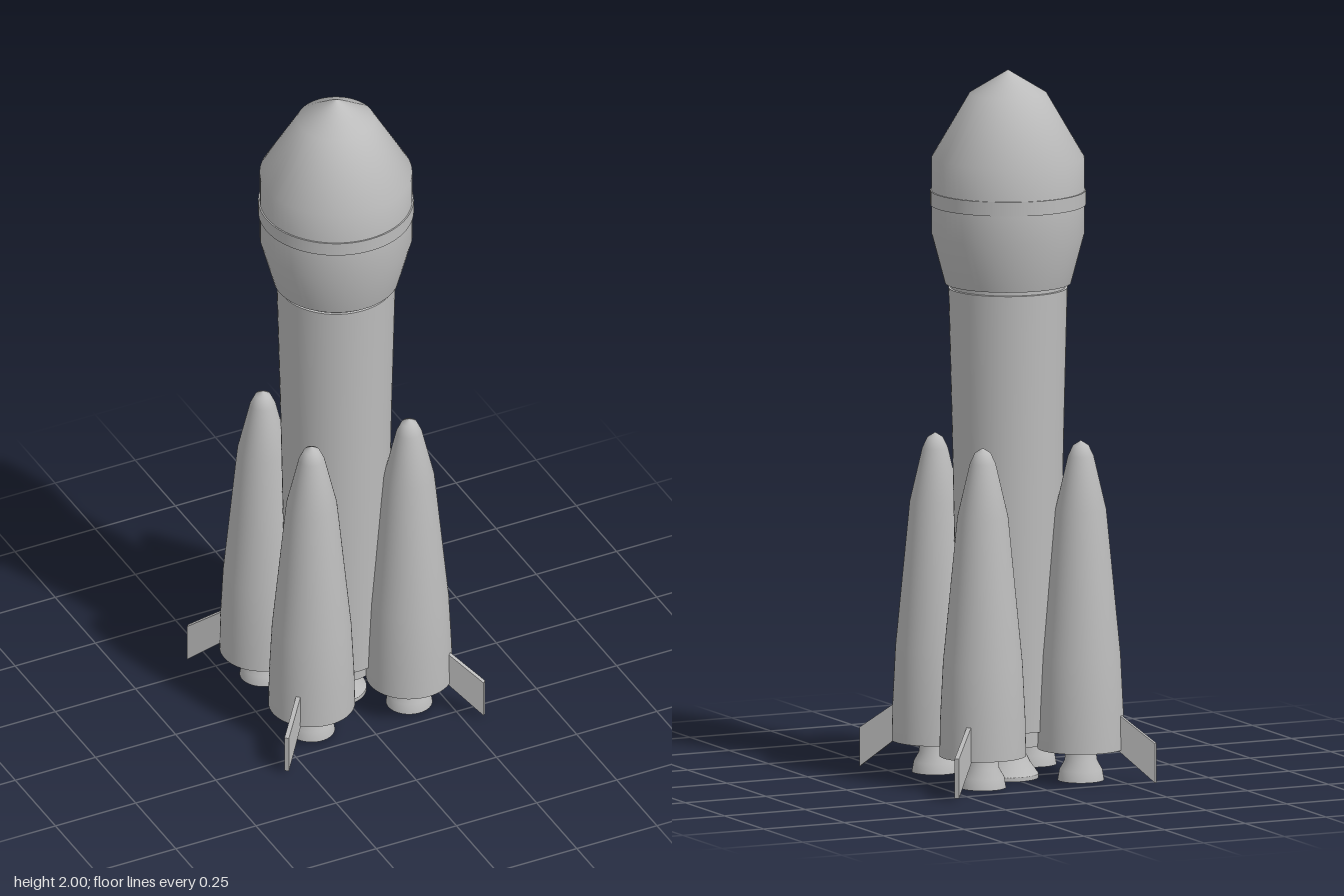
import * as THREE from 'three';

export function createModel() {
  const rocket = new THREE.Group();
  rocket.name = 'rocket';
  const grey = new THREE.MeshStandardMaterial({ color: 0xbcbcbc, side: THREE.DoubleSide });
  grey.name = 'light grey';

  // Turned part made of [radius, height] sections; edges between sections stay sharp
  function turned(name, ...sections) {
    const part = new THREE.Group();
    part.name = name;
    sections.forEach((section, i) => {
      const points = section.map(([r, y]) => new THREE.Vector2(r, y));
      const mesh = new THREE.Mesh(new THREE.LatheGeometry(points, 64), grey);
      mesh.name = `${name}Section${i + 1}`;
      part.add(mesh);
    });
    return part;
  }

  // Core stage with recessed engine bay
  rocket.add(turned('coreStage',
    [[0, 0.145], [0.14, 0.145]],
    [[0.14, 0.145], [0.156, 0.98], [0.166, 1.385]],
    [[0.166, 1.385], [0.155, 1.387]]));
  rocket.add(turned('engineBay',
    [[0, 0.1], [0.116, 0.1]],
    [[0.116, 0.1], [0.116, 0.145]]));
  rocket.add(turned('interstage', [[0.16, 1.38], [0.16, 1.41]]));

  // Payload fairing and its separation band
  rocket.add(turned('fairing',
    [[0, 1.398], [0.176, 1.398]],
    [[0.176, 1.398], [0.213, 1.537], [0.213, 1.754], [0.108, 1.934], [0, 2]]));
  rocket.add(turned('fairingBand',
    [[0.212, 1.62], [0.217, 1.62]],
    [[0.217, 1.62], [0.217, 1.66]],
    [[0.217, 1.66], [0.212, 1.66]]));

  // Hollow main engine bell
  rocket.add(turned('mainNozzle',
    [[0.085, 0.012], [0.062, 0.045], [0.042, 0.085], [0.038, 0.11]],
    [[0.085, 0], [0.085, 0.012]],
    [[0.078, 0], [0.085, 0]],
    [[0.078, 0], [0.055, 0.045], [0.036, 0.08], [0, 0.085]]));

  // Fin outline: distance from the core axis against height
  const outline = new THREE.Shape([
    [0.31, 0.213], [0.332, 0.193], [0.436, 0.119], [0.436, 0.008], [0.332, 0.09], [0.31, 0.105],
  ].map(([d, y]) => new THREE.Vector2(d, y)));
  const finGeometry = new THREE.ExtrudeGeometry(outline, { depth: 0.013, bevelEnabled: false });
  finGeometry.translate(0, 0, -0.0065);

  // Four boosters on the diagonals, each with an engine bell and a fin
  for (let i = 0; i < 4; i++) {
    const booster = new THREE.Group();
    booster.name = `booster${i + 1}`;
    const body = turned('boosterBody',
      [[0, 0.095], [0.121, 0.095]],
      [[0.121, 0.095], [0.119, 0.2], [0.111, 0.36], [0.071, 0.77], [0.036, 0.92], [0.022, 0.95], [0, 0.964]]);
    const nozzle = turned('boosterNozzle',
      [[0.065, 0.005], [0.06, 0.035], [0.046, 0.06], [0.04, 0.1]],
      [[0.059, 0.005], [0.065, 0.005]],
      [[0.059, 0.005], [0.053, 0.035], [0.036, 0.065], [0, 0.07]]);
    for (const part of [body, nozzle]) {
      part.position.x = 0.152 * Math.SQRT2;
      booster.add(part);
    }
    const fin = new THREE.Mesh(finGeometry, grey);
    fin.name = 'fin';
    booster.add(fin);
    booster.rotation.y = Math.PI / 4 + i * Math.PI / 2;
    rocket.add(booster);
  }
  return rocket;
}
